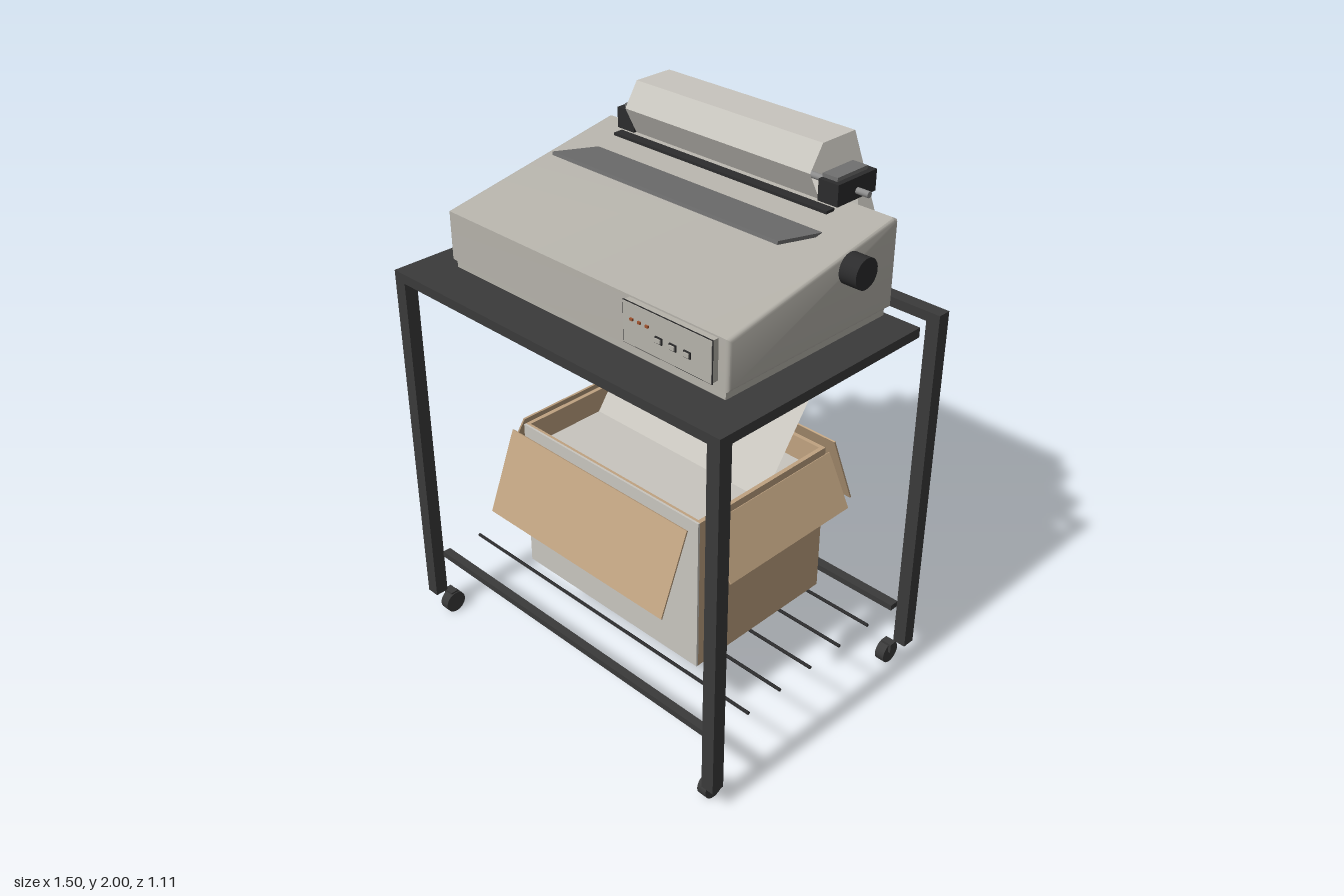
import * as THREE from 'three';
import { toCreasedNormals } from 'three/addons/utils/BufferGeometryUtils.js';

const mat = (name, color, side = THREE.FrontSide) => {
  const m = new THREE.MeshStandardMaterial({ color, side });
  m.name = name;
  return m;
};

export function createModel() {
  const root = new THREE.Group();
  root.name = 'printerOnStand';

  const frame = mat('charcoal frame', 0x3a3a3a);
  const black = mat('black plastic', 0x2c2c2d);
  const shell = mat('warm grey shell', 0xb5b2aa);
  const smoke = mat('smoke lid', 0x707070);
  const paper = mat('paper', 0xc8c5be, THREE.DoubleSide);
  const card = mat('cardboard', 0xbfa280, THREE.DoubleSide);
  const steel = mat('steel', 0x8c8c8c);
  const red = mat('indicator red', 0xa0522d);

  const add = (name, geo, material, parent = root) => {
    const m = new THREE.Mesh(geo, material);
    m.name = name;
    parent.add(m);
    return m;
  };
  // Box given by its extents on each axis
  const box = (name, material, [x0, x1], [y0, y1], [z0, z1], parent = root) => {
    const g = new THREE.BoxGeometry(x1 - x0, y1 - y0, z1 - z0);
    g.translate((x0 + x1) / 2, (y0 + y1) / 2, (z0 + z1) / 2);
    return add(name, g, material, parent);
  };
  // Cylinder lying along x
  const rodX = (name, material, r, len, x, y, z, seg = 24, parent = root) => {
    const g = new THREE.CylinderGeometry(r, r, len, seg);
    g.rotateZ(Math.PI / 2);
    g.translate(x, y, z);
    return add(name, g, material, parent);
  };
  // Folded sheet of constant width following [z, y] points
  const sheet = (name, material, halfWidth, points) => {
    const g = new THREE.PlaneGeometry(halfWidth * 2, 1, 1, points.length - 1);
    const p = g.attributes.position;
    for (let i = 0; i < p.count; i++) {
      const [z, y] = points[Math.floor(i / 2)];
      p.setXYZ(i, p.getX(i), y, z);
    }
    const flat = g.toNonIndexed();
    flat.computeVertexNormals();
    return add(name, flat, material);
  };

  // Stand: table top, legs, rails and casters
  const stand = new THREE.Group();
  stand.name = 'stand';
  root.add(stand);
  box('tableTop', frame, [-0.75, 0.75], [1.42, 1.455], [-0.36, 0.555], stand);
  box('backTopRail', frame, [-0.7, 0.7], [1.42, 1.455], [-0.515, -0.465], stand);
  for (const s of [-1, 1]) {
    const xs = [s * 0.725 - 0.025, s * 0.725 + 0.025];
    box('frontLeg', frame, xs, [0.09, 1.455], [0.505, 0.555], stand);
    box('backLeg', frame, xs, [0.09, 1.455], [-0.515, -0.465], stand);
    for (const z of [0.495, -0.45]) {
      rodX('casterWheel', frame, 0.042, 0.038, s * 0.683, 0.044, z, 24, stand);
      box('casterBracket', frame, [s * 0.69 - 0.022, s * 0.69 + 0.022], [0.055, 0.092], [z - 0.015, z + 0.015], stand);
    }
  }
  box('frontShelfRail', frame, [-0.7, 0.7], [0.25, 0.273], [0.475, 0.507], stand);
  box('backShelfRail', frame, [-0.7, 0.7], [0.25, 0.273], [-0.467, -0.43], stand);
  for (let i = 0; i < 7; i++) {
    rodX('shelfWire', black, 0.006, 1.4, 0, 0.262, 0.49 - i * 0.157, 8, stand);
  }

  // Printer body: wedge profile with rounded edges
  const printer = new THREE.Group();
  printer.name = 'printer';
  root.add(printer);
  box('printerBase', shell, [-0.617, 0.617], [1.455, 1.49], [-0.345, 0.39], printer);
  const b = 0.014;
  const side = new THREE.Shape([
    [0.4 - b, 1.485 + b], [0.4 - b, 1.662 - b], [-0.335, 1.798 - b],
    [-0.36 + b, 1.792 - b], [-0.36 + b, 1.485 + b],
  ].map(([z, y]) => new THREE.Vector2(z, y)));
  const width = 1.27 - 2 * b;
  const bodyGeo = new THREE.ExtrudeGeometry(side, {
    depth: width, bevelEnabled: true, bevelSize: b, bevelThickness: b, bevelSegments: 3,
  });
  bodyGeo.translate(0, 0, -width / 2);
  bodyGeo.rotateY(-Math.PI / 2);
  add('printerBody', toCreasedNormals(bodyGeo, 0.6), shell, printer);

  // Hinged lid, lifted at its front edge
  const lid = box('lid', smoke, [-0.5, 0.5], [-0.006, 0.006], [-0.112, 0.112], printer);
  lid.position.set(0, 1.778, -0.06);
  lid.rotation.x = -0.19;

  // Platen knob
  rodX('knobShaft', black, 0.025, 0.03, 0.64, 1.705, -0.127, 20, printer);
  rodX('knob', black, 0.052, 0.065, 0.668, 1.705, -0.127, 32, printer);

  // Control panel with outline, lamps and buttons
  box('panelOutline', black, [0.23, 0.597], [1.512, 1.657], [0.424, 0.426], printer);
  box('controlPanel', shell, [0.233, 0.594], [1.515, 1.654], [0.4, 0.428], printer);
  for (let i = 0; i < 3; i++) {
    const lx = 0.272 + i * 0.032, bx = 0.384 + i * 0.058;
    box('lamp', red, [lx - 0.006, lx + 0.006], [1.6, 1.608], [0.428, 0.434], printer);
    box('buttonEdge', black, [bx - 0.014, bx + 0.014], [1.564, 1.586], [0.428, 0.432], printer);
    box('button', shell, [bx - 0.01, bx + 0.01], [1.568, 1.582], [0.428, 0.436], printer);
  }

  // Tractor feed: tear bar, sprocket housings and shaft
  const tractor = new THREE.Group();
  tractor.name = 'tractorFeed';
  root.add(tractor);
  box('tearBar', black, [-0.472, 0.472], [1.8, 1.81], [-0.245, -0.207], tractor);
  rodX('tractorShaft', steel, 0.011, 1.07, 0, 1.845, -0.335, 16, tractor);
  for (const s of [-1, 1]) {
    const span = (a, c) => [Math.min(s * a, s * c), Math.max(s * a, s * c)];
    box('tractorHousing', black, span(0.408, 0.487), [1.817, 1.89], [-0.428, -0.24], tractor);
    box('tractorCap', smoke, span(0.408, 0.468), [1.89, 1.903], [-0.405, -0.258], tractor);
  }

  // Continuous paper from the carton, through the printer and over the back
  sheet('continuousPaper', paper, 0.406, [
    [-0.03, 0.77], [-0.45, 1.355], [-0.45, 1.78], [-0.4, 1.818], [-0.25, 1.818],
    [-0.2, 1.915], [-0.255, 2.0], [-0.41, 2.0], [-0.555, 1.66],
  ]);

  // Carton: floor, walls, paper stack
  const carton = new THREE.Group();
  carton.name = 'carton';
  root.add(carton);
  const X = 0.428, t = 0.016;
  box('cartonFloor', card, [-X, X], [0.273, 0.285], [-0.338, 0.28], carton);
  box('cartonBack', card, [-X, X], [0.285, 0.87], [-0.338, -0.338 + t], carton);
  box('cartonFront', card, [-X, X], [0.273, 0.87], [0.28, 0.29], carton);
  box('cartonFrontFace', paper, [-X, X], [0.273, 0.87], [0.29, 0.298], carton);
  for (const s of [-1, 1]) {
    const c = s * (X - t / 2);
    box('cartonSide', card, [c - t / 2, c + t / 2], [0.285, 0.87], [-0.338 + t, 0.28], carton);
  }
  box('paperStack', paper, [-0.406, 0.406], [0.285, 0.785], [-0.315, 0.275], carton);

  // Open carton flaps: long front and back, short sides
  const flap = (name, halfWidth, length, angle, turn, x, z) => {
    const g = new THREE.BoxGeometry(halfWidth * 2, length, 0.006);
    g.translate(0, -length / 2, 0);
    g.rotateX(-angle);
    g.rotateY(turn);
    g.translate(x, 0.87, z);
    add(name, g, card, carton);
  };
  flap('frontFlap', X, 0.315, 0.38, 0, 0, 0.348);
  flap('backFlap', X, 0.315, 0.38, Math.PI, 0, -0.388);
  flap('leftFlap', 0.299, 0.21, 0.48, Math.PI / 2, 0.455, -0.024);
  flap('rightFlap', 0.299, 0.21, 0.48, -Math.PI / 2, -0.455, -0.024);

  return root;
}
